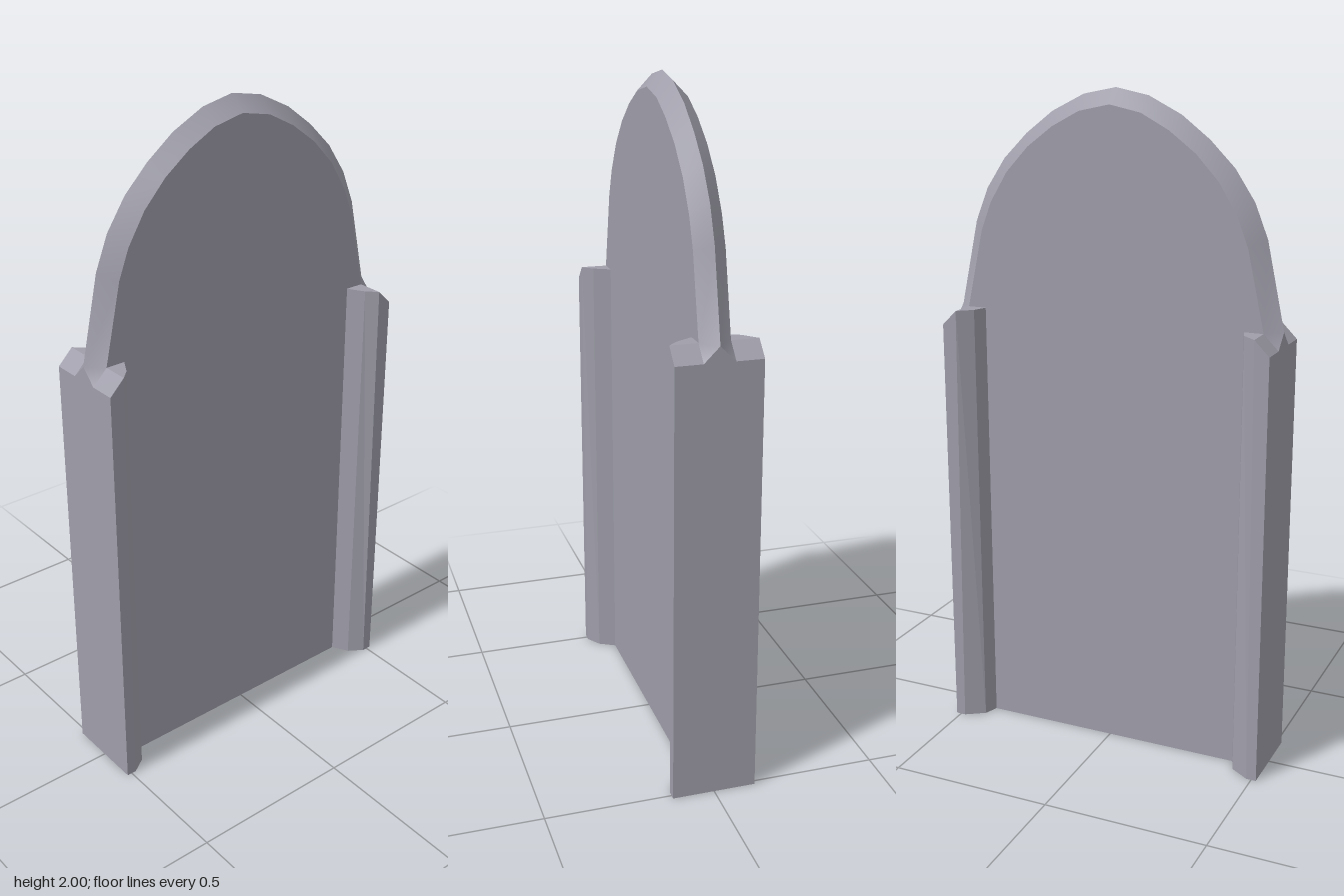
import * as THREE from 'three';
import { toCreasedNormals } from 'three/addons/utils/BufferGeometryUtils.js';

const HALF = 0.045; // half thickness of the slab
const STONE = 0x9f9eaa; // cool violet grey

// Polygon faces (lists of points) to a mesh, each face split as a fan.
function meshFromFaces(name, faces, crease) {
  const pos = [];
  for (const f of faces) {
    for (let i = 1; i < f.length - 1; i++) pos.push(...f[0], ...f[i], ...f[i + 1]);
  }
  const geo = new THREE.BufferGeometry();
  geo.setAttribute('position', new THREE.Float32BufferAttribute(pos, 3));
  const mesh = new THREE.Mesh(
    toCreasedNormals(geo, crease),
    new THREE.MeshStandardMaterial({ color: STONE })
  );
  mesh.name = name;
  return mesh;
}

// Mirror faces across x and/or z, keeping them facing outwards.
function mirrorFaces(faces, sx, sz) {
  return faces.map((f) => {
    const m = f.map(([x, y, z]) => [x * sx, y, z * sz]);
    return sx * sz < 0 ? m.reverse() : m;
  });
}

// Arched slab: flat front and back, edges bevelled to a central ridge.
function createSlab() {
  // Right half, base to crown: ridge (z = 0) and matching face edge.
  const ridgeHalf = [[0.515, 0], [0.515, 1.345], [0.515, 1.345], [0.46, 1.6], [0.42, 1.7],
    [0.36, 1.79], [0.285, 1.865], [0.2, 1.93], [0.1, 1.98], [0, 2]];
  const faceHalf = [[0.515, 0], [0.515, 1.3], [0.47, 1.345], [0.418, 1.58], [0.385, 1.665],
    [0.33, 1.755], [0.26, 1.83], [0.18, 1.89], [0.095, 1.935], [0, 1.955]];
  const loop = (half, z) => [
    ...half, ...half.slice(0, -1).reverse().map(([x, y]) => [-x, y]),
  ].map(([x, y]) => [x, y, z]);
  const ridge = loop(ridgeHalf, 0);
  const face = loop(faceHalf, HALF);

  const front = [face];
  for (let i = 0; i < face.length; i++) {
    const j = (i + 1) % face.length; // the wrap closes the underside
    front.push([face[i], ridge[i], ridge[j], face[j]]);
  }
  return meshFromFaces('slab', [...front, ...mirrorFaces(front, 1, -1)], 0.6);
}

// Side pillar: a slightly tapering moulding with a chamfered outer top edge.
function createPillar(name, sx, sz) {
  const [mx, mz] = sz > 0 ? [0.44, 0.095] : [0.428, 0.088];
  const b = [[0.515, 0, HALF], [0.515, 0, 0.125], [0.485, 0, 0.125],
    [mx, 0, mz], [0.412, 0, HALF], [0.485, 0, HALF]];
  const t = [[0.515, 1.3, HALF], [0.515, 1.3, 0.125], [0.47, 1.345, 0.125],
    [mx, 1.345, mz], [0.412, 1.345, HALF], [0.47, 1.345, HALF]];
  const faces = [
    [t[5], t[2], t[1], t[0]], // chamfer
    [t[5], t[4], t[3], t[2]], // top
    [b[0], b[1], b[2], b[5]], // underside
    [b[2], b[3], b[4], b[5]],
  ];
  for (let i = 0; i < 4; i++) faces.push([b[i], t[i], t[i + 1], b[i + 1]]);
  return meshFromFaces(name, mirrorFaces(faces, sx, sz), 0.05);
}

export function createModel() {
  const group = new THREE.Group();
  group.name = 'headstone';
  group.add(createSlab());
  for (const sx of [1, -1]) {
    for (const sz of [1, -1]) {
      const name = (sx > 0 ? 'left' : 'right') + (sz > 0 ? 'Front' : 'Back') + 'Pillar';
      group.add(createPillar(name, sx, sz));
    }
  }
  return group;
}
